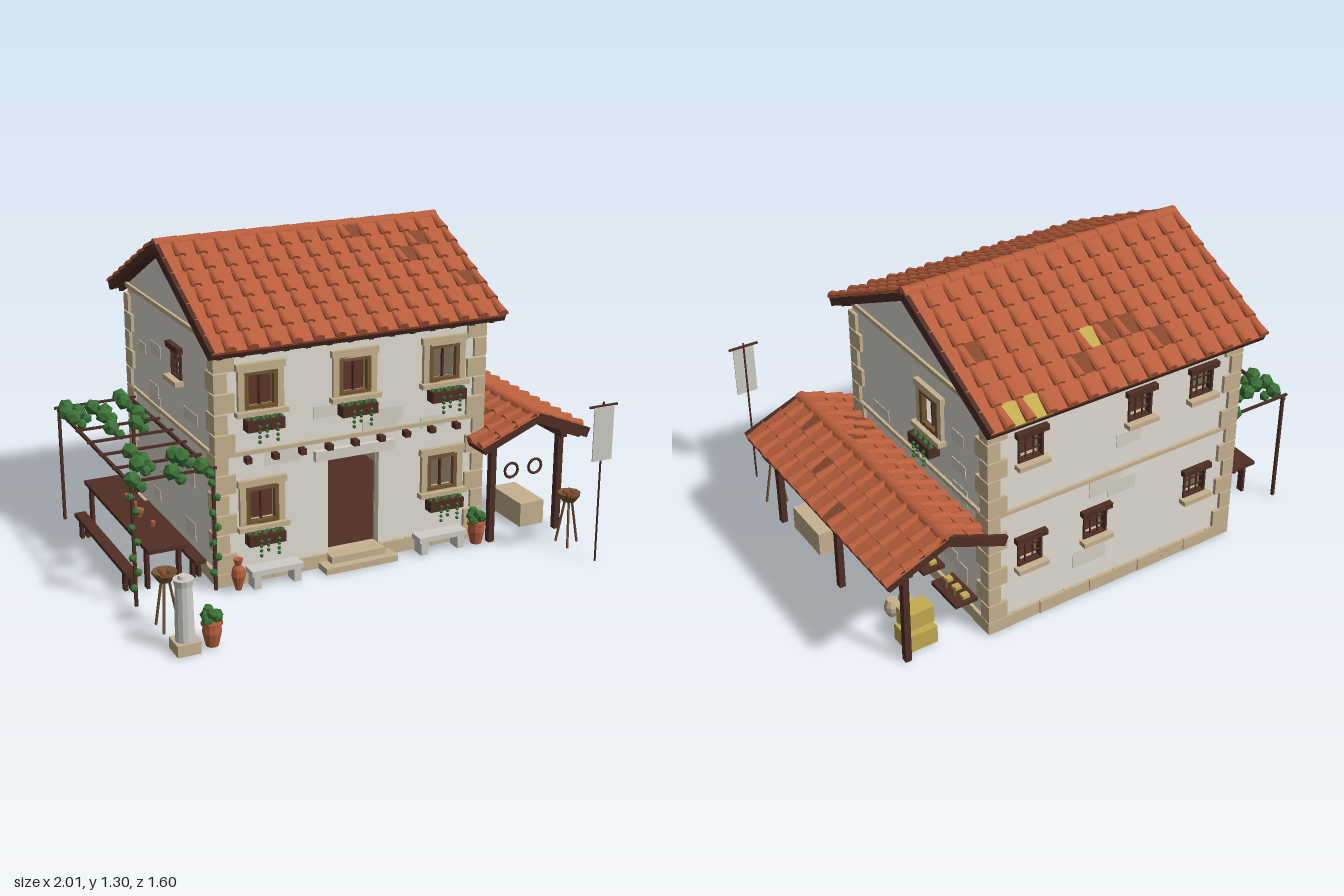
import * as THREE from 'three';
import { mergeGeometries } from 'three/addons/utils/BufferGeometryUtils.js';

const paint = (name, color) => {
  const m = new THREE.MeshStandardMaterial({ color, flatShading: true });
  m.name = name;
  return m;
};
const plaster = paint('plaster', 0xe2ded4), patch = paint('weathered plaster', 0xd8d2c4);
const stone = paint('sandstone', 0xc6b28f), pale = paint('pale stone', 0xcfcdc5);
const clay = paint('terracotta', 0xb85e3c), oldClay = paint('old terracotta', 0x86492f);
const straw = paint('straw', 0xc2ab50), wood = paint('dark wood', 0x4f2f25);
const leaf = paint('leaf green', 0x3b7238), bronze = paint('bronze brown', 0x755531);

let seed = 7;
const rnd = () => (seed = (seed * 16807) % 2147483647) / 2147483647;

function add(parent, name, geo, mat, x = 0, y = 0, z = 0) {
  const m = new THREE.Mesh(geo, mat);
  m.name = name;
  m.position.set(x, y, z);
  parent.add(m);
  return m;
}
const box = (p, name, mat, w, h, d, x, y, z) => add(p, name, new THREE.BoxGeometry(w, h, d), mat, x, y, z);
const cyl = (p, name, mat, r1, r2, h, x, y, z, n = 8) => add(p, name, new THREE.CylinderGeometry(r1, r2, h, n), mat, x, y, z);
const bush = (p, r, x, y, z) => {
  const m = add(p, 'leaves', new THREE.IcosahedronGeometry(r, 0), leaf, x, y, z);
  m.rotation.set(rnd() * 3, rnd() * 3, 0);
  return m;
};
function group(parent, name, x = 0, y = 0, z = 0, ry = 0) {
  const g = new THREE.Group();
  g.name = name;
  g.position.set(x, y, z);
  g.rotation.y = ry;
  parent.add(g);
  return g;
}
// Rectangular frame made of four bars
function ring(p, name, mat, w, h, t, d, x, y, z) {
  for (const s of [-1, 1]) {
    box(p, name, mat, t, h, d, x + s * (w - t) / 2, y, z);
    box(p, name, mat, w - 2 * t, t, d, x, y + s * (h - t) / 2, z);
  }
}

// Wall with openings: plaster outside, sandstone lining inside
function wall(root, name, outline, holes, x, z, ry) {
  const g = group(root, name, x, 0, z, ry);
  const shape = new THREE.Shape(outline.map(p => new THREE.Vector2(...p)));
  for (const [cx, cy, w, h] of holes) {
    const a = w / 2, b = h / 2;
    shape.holes.push(new THREE.Path([[-a, -b], [-a, b], [a, b], [a, -b]].map(([u, v]) => new THREE.Vector2(cx + u, cy + v))));
  }
  const skin = (n, mat, depth, zz) => add(g, n, new THREE.ExtrudeGeometry(shape, { depth, bevelEnabled: false }), mat, 0, 0, zz);
  skin('plasterSkin', plaster, 0.03, -0.03);
  skin('innerLining', stone, 0.014, -0.045);
  // weathered patches, kept clear of openings
  const W = Math.max(...outline.map(p => p[0])), half = W - 0.17;
  for (let i = 0; i < 16; i++) {
    const w = 0.08 + rnd() * 0.08, h = 0.04 + rnd() * 0.04, px = (rnd() * 2 - 1) * half, py = 0.12 + rnd() * 0.76;
    if (holes.every(([cx, cy, a, b]) => Math.abs(px - cx) > (a + w) / 2 + 0.03 || Math.abs(py - cy) > (b + h) / 2 + 0.03))
      box(g, 'plasterPatch', patch, w, h, 0.003, px, py, 0.001);
  }
  // plinth blocks, middle string course and quoins
  const n = Math.round(W * 18), bw = (2 * W + 0.03) / n;
  for (let i = 0; i < n; i++) box(g, 'plinthBlock', stone, bw - 0.002, 0.055, 0.04, (i + 0.5 - n / 2) * bw, 0.0275, -0.005 - (i % 2) * 0.002);
  box(g, 'stringCourse', stone, 2 * W, 0.016, 0.016, 0, 0.54, 0.004);
  for (const s of [-1, 1]) for (let i = 0; i < 11; i++) {
    const w = (i + (Math.abs(ry) === Math.PI / 2 ? 0 : 1)) % 2 ? 0.085 : 0.055;
    box(g, 'quoin', stone, w, 0.076, 0.028, s * (W + 0.014 - w / 2), 0.095 + i * 0.082, 0);
  }
  return g;
}
// Large casement window, with or without a flower box
function bigWindow(g, x, y, w, flowers) {
  ring(g, 'windowSurround', stone, w + 0.05, 0.2, 0.026, 0.03, x, y, 0.002);
  box(g, 'windowLintel', stone, w + 0.065, 0.028, 0.036, x, y + 0.096, 0.003);
  box(g, 'windowSill', stone, w + 0.075, 0.02, 0.05, x, y - 0.088, 0.012);
  ring(g, 'windowFrame', bronze, w, 0.16, 0.018, 0.022, x, y, 0.006);
  box(g, 'mullion', wood, 0.008, 0.15, 0.012, x, y, -0.005);
  if (!flowers) return;
  box(g, 'flowerBox', wood, 0.155, 0.044, 0.05, x, y - 0.128, 0.04);
  for (let i = 0; i < 8; i++) bush(g, 0.011, x - 0.066 + i * 0.019, y - 0.104, 0.036 + (i % 2) * 0.014);
  for (const [dx, n] of [[-0.03, 4], [0.0, 3], [0.045, 4]])
    for (let k = 0; k < n; k++) bush(g, 0.008, x + dx, y - 0.13 - k * 0.02, 0.068);
}
// Small barred window with wooden lintel
function smallWindow(g, x, y) {
  ring(g, 'smallFrame', wood, 0.112, 0.122, 0.009, 0.03, x, y, -0.008);
  for (const s of [-1, 1]) {
    box(g, 'grilleBar', wood, 0.005, 0.115, 0.006, x + s * 0.017, y, -0.005);
    box(g, 'grilleBar', wood, 0.105, 0.005, 0.006, x, y + s * 0.018, -0.005);
  }
  box(g, 'smallLintel', wood, 0.14, 0.024, 0.036, x, y + 0.068, 0.006);
  box(g, 'smallSill', stone, 0.14, 0.02, 0.05, x, y - 0.068, 0.012);
}

// Gabled tile roof; ridge along local x, slopes toward +z and -z
function roof(g, run, drop, length, cols, rows, ochre) {
  const ang = Math.atan2(drop, run), len = Math.hypot(run, drop), pitch = length / cols, rl = len / rows;
  for (const side of [0, 1]) {
    const turn = group(g, 'slope', 0, 0, 0, side * Math.PI);
    const s = group(turn, 'slopePlane');
    s.rotation.x = ang;
    box(s, 'roofDeck', wood, length, 0.016, len, 0, 0.008, len / 2);
    for (const e of [-1, 1]) box(s, 'vergeBoard', wood, 0.018, 0.042, len + 0.006, e * (length / 2 - 0.004), 0.012, len / 2);
    box(s, 'eaveBoard', wood, length, 0.024, 0.012, 0, 0.006, len);
    for (let i = 0; i < cols; i++) box(s, 'rafterTail', wood, 0.022, 0.024, 0.09, (i + 0.5 - cols / 2) * pitch, -0.01, len - 0.05);
    const tiles = new Map([[clay, []], [oldClay, []], [straw, []]]);
    for (let i = 0; i < cols; i++) for (let j = 0; j < rows; j++) {
      const x = (i + 0.5 - cols / 2) * pitch, z = (j + 0.5) * rl + 0.004;
      const pan = new THREE.BoxGeometry(pitch * 0.94, 0.012, rl * 1.06);
      pan.rotateX(0.07).translate(x, 0.024, z);
      const cover = new THREE.CylinderGeometry(0.023, 0.018, rl * 1.06, 6, 1, false, Math.PI / 2, Math.PI);
      cover.rotateX(Math.PI / 2).rotateX(-0.06).translate(x + pitch / 2 - 0.012, 0.024, z);
      const isOchre = side && ochre.some(o => o[0] === i && o[1] === j);
      tiles.get(isOchre ? straw : rnd() < 0.05 ? oldClay : clay).push(pan);
      tiles.get(clay).push(cover);
    }
    for (const [mat, list] of tiles) if (list.length) add(s, 'roofTiles', mergeGeometries(list), mat);
  }
  const caps = cols - 1;
  for (let i = 0; i < caps; i++) {
    const c = new THREE.CylinderGeometry(0.03, 0.027, length / caps * 1.03, 8, 1, false, Math.PI / 2, Math.PI);
    c.rotateX(Math.PI / 2).rotateY(Math.PI / 2);
    add(g, 'ridgeTile', c, clay, (i + 0.5 - caps / 2) * length / caps, 0.015, 0);
  }
}
const lathe = pts => new THREE.LatheGeometry(pts.map(p => new THREE.Vector2(...p)), 10);
function pottedPlant(root, x, z) {
  const g = group(root, 'pottedPlant', x, 0, z);
  add(g, 'pot', lathe([[0, 0.005], [0.024, 0.005], [0.036, 0.06], [0.034, 0.085], [0.04, 0.088], [0.04, 0.1], [0, 0.096]]), clay);
  for (let i = 0; i < 8; i++) bush(g, 0.022, Math.cos(i * 0.9) * 0.022, 0.108 + (i % 3) * 0.015, Math.sin(i * 0.9) * 0.022);
}
function brazier(root, x, z) {
  const g = group(root, 'brazier', x, 0, z);
  add(g, 'bowl', lathe([[0, 0.185], [0.028, 0.192], [0.048, 0.222], [0.048, 0.23], [0.04, 0.228], [0, 0.212]]), bronze);
  for (let i = 0; i < 3; i++) {
    const a = i * Math.PI * 2 / 3, c = Math.cos(a), s = Math.sin(a);
    const path = new THREE.LineCurve3(new THREE.Vector3(c * 0.05, 0, s * 0.05), new THREE.Vector3(c * 0.014, 0.2, s * 0.014));
    add(g, 'leg', new THREE.TubeGeometry(path, 1, 0.0055, 5), bronze);
    add(g, 'ember', new THREE.IcosahedronGeometry(0.013, 0), oldClay, c * 0.018, 0.224, s * 0.018);
  }
}
// Plank on two trestle legs, running along z
function plank(root, name, w, h, l, x, z) {
  const g = group(root, name, x, 0, z);
  box(g, 'top', wood, w, 0.016, l, 0, h - 0.008, 0);
  for (const s of [-1, 1]) for (const e of [-1, 1]) box(g, 'leg', wood, 0.014, h - 0.016, 0.03, e * (w / 2 - 0.012), (h - 0.016) / 2, s * (l / 2 - 0.06));
}

export function createModel() {
  const root = new THREE.Group();
  root.name = 'farmhouse';
  const CX = -0.04, CZ = -0.2, T = Math.PI / 2;

  // House walls
  const rect = [[-0.58, 0.01], [0.58, 0.01], [0.58, 0.985], [-0.58, 0.985]];
  const gable = [[-0.499, 0.01], [0.499, 0.01], [0.499, 0.99], [0, 1.245], [-0.499, 0.99]];
  const big = [[-0.4, 0.79], [0, 0.79], [0.4, 0.79], [-0.4, 0.32], [0.4, 0.32]];
  const front = wall(root, 'frontWall', rect, [...big.map(([x, y]) => [x, y, 0.13, 0.15]), [0.002, 0.257, 0.225, 0.406]], CX, 0.3, 0);
  big.forEach(([x, y]) => bigWindow(front, x, y, 0.14, true));
  const small = [[-0.4, 0.8], [0.1, 0.8], [0.4, 0.8], [-0.4, 0.325], [-0.095, 0.325], [0.4, 0.325]];
  const back = wall(root, 'backWall', rect, small.map(([x, y]) => [x, y, 0.104, 0.114]), CX, -0.7, Math.PI);
  small.forEach(([x, y]) => smallWindow(back, x, y));
  const left = wall(root, 'leftSideWall', gable, [[0.105, 0.795, 0.12, 0.15], [-0.125, 0.32, 0.12, 0.15]], 0.54, CZ, T);
  bigWindow(left, 0.105, 0.795, 0.13, true);
  bigWindow(left, -0.125, 0.32, 0.13, false);
  const right = wall(root, 'rightSideWall', gable, [[0.09, 0.8, 0.104, 0.114]], -0.62, CZ, -T);
  smallWindow(right, 0.09, 0.8);
  for (const g of [left, right]) box(g, 'gableBand', stone, 1.0, 0.018, 0.016, 0, 0.99, 0.004);
  for (let i = 0; i < 9; i++) box(front, 'beamEnd', wood, 0.024, 0.024, 0.04, -0.46 + i * 0.115, 0.515, 0.015);
  box(root, 'groundFloor', wood, 1.15, 0.048, 0.99, CX, 0.025, CZ);
  box(root, 'upperFloor', wood, 1.07, 0.02, 0.91, CX, 0.54, CZ);

  // Doorway, door leaf swung inward, steps, indoor table
  box(front, 'doorLintel', patch, 0.35, 0.042, 0.036, 0, 0.48, 0.004);
  for (let i = 0; i < 9; i++) box(front, 'doorPlank', wood, 0.014, 0.04, 0.2, -0.119, 0.08 + i * 0.044, -0.147);
  box(front, 'doorBacking', oldClay, 0.006, 0.4, 0.2, -0.122, 0.255, -0.147);
  box(root, 'lowerStep', stone, 0.32, 0.026, 0.09, CX, 0.013, 0.345);
  box(root, 'upperStep', stone, 0.24, 0.028, 0.06, CX, 0.04, 0.325);
  plank(root, 'indoorTable', 0.16, 0.185, 0.3, 0.005, -0.35);
  cyl(root, 'indoorJug', bronze, 0.008, 0.011, 0.035, -0.015, 0.2, -0.3, 6);
  for (const x of [-0.41, 0.33]) {
    box(root, 'benchSeat', pale, 0.22, 0.022, 0.07, x, 0.067, 0.357);
    for (const s of [-1, 1]) box(root, 'benchFoot', pale, 0.03, 0.058, 0.06, x + s * 0.085, 0.029, 0.357);
  }

  // Main roof and porch roof
  roof(group(root, 'mainRoof', CX, 1.25, CZ), 0.578, 0.289, 1.26, 14, 7, [[6, 4], [1, 6], [2, 6]]);
  roof(group(root, 'porchRoof', 0.735, 0.523, -0.145, T), 0.246, 0.1, 1.16, 14, 3, []);
  for (const z of [0.377, -0.137, -0.66]) box(root, 'porchPost', wood, 0.026, 0.45, 0.028, 0.885, 0.225, z);
  box(root, 'porchPost', wood, 0.026, 0.44, 0.028, 0.56, 0.22, 0.377);
  box(root, 'porchBeam', wood, 0.028, 0.028, 1.12, 0.885, 0.435, -0.145);
  for (const x of [0.655, 0.77]) add(root, 'hangingHoop', new THREE.TorusGeometry(0.031, 0.006, 6, 16), wood, x, 0.3, 0.377);

  // Things kept under the porch
  for (const [z, l] of [[-0.04, 0.18], [-0.295, 0.19], [-0.54, 0.18]]) {
    box(root, 'wallShelf', wood, 0.1, 0.016, l, 0.6, 0.12, z);
    for (let i = 0; i < 5; i++) {
      const x = 0.59 + (i % 2) * 0.03, dz = z - 0.06 + i * 0.03;
      if (i % 2) cyl(root, 'shelfJar', bronze, 0.007, 0.009, 0.034, x, 0.145, dz, 6);
      else box(root, 'shelfBundle', straw, 0.03, 0.014, 0.028, x, 0.135, dz);
    }
  }
  box(root, 'trough', stone, 0.115, 0.105, 0.23, 0.81, 0.0525, 0.195);
  box(root, 'strawBale', straw, 0.13, 0.075, 0.105, 0.8, 0.0375, -0.583);
  box(root, 'strawBale', straw, 0.12, 0.073, 0.08, 0.79, 0.1115, -0.565).rotation.y = 0.06;
  for (const [x, z] of [[0.8, -0.4], [0.74, -0.4]])
    add(root, 'storageJar', lathe([[0, 0.001], [0.022, 0.001], [0.032, 0.025], [0.032, 0.048], [0.022, 0.074], [0, 0.074]]), stone, x, 0, z);

  // Pergola with vines
  const pg = group(root, 'pergola');
  for (const x of [-0.97, -0.645]) {
    box(pg, 'pergolaRail', wood, 0.012, 0.012, 0.96, x, 0.495, -0.15);
    for (const z of [-0.62, 0.32]) box(pg, 'pergolaPost', wood, 0.012, 0.5, 0.012, x, 0.25, z);
    for (let i = 0; i < 7; i++) bush(pg, 0.017, x + (i % 2 ? 0.01 : -0.01), 0.08 + i * 0.062, 0.33);
  }
  for (const z of [-0.62, -0.31, -0.155, 0, 0.16, 0.32]) box(pg, 'crossBar', wood, 0.36, 0.01, 0.01, -0.81, 0.507, z);
  const vines = [[-0.95, -0.58], [-0.97, -0.51], [-0.92, -0.5], [-0.96, -0.44], [-0.85, -0.53], [-0.82, -0.46], [-0.7, -0.62], [-0.71, -0.54], [-0.84, -0.41],
    [-0.7, -0.39], [-0.86, -0.25], [-0.75, -0.27], [-0.88, 0.04], [-0.9, 0.18], [-0.87, 0.15], [-0.74, 0.15], [-0.72, 0.18], [-0.81, 0.32], [-0.69, 0.31], [-0.97, 0.33]];
  for (const [x, z] of vines) {
    bush(pg, 0.036, x, 0.52, z);
    bush(pg, 0.024, x + 0.028, 0.492, z + 0.018);
  }
  plank(root, 'longTable', 0.155, 0.18, 0.82, -0.812, -0.165);
  plank(root, 'outerBench', 0.048, 0.09, 0.68, -0.95, -0.115);
  plank(root, 'innerBench', 0.048, 0.09, 0.68, -0.67, -0.115);
  add(root, 'tableBowl', lathe([[0, 0], [0.015, 0], [0.026, 0.03], [0, 0.022]]), clay, -0.81, 0.18, -0.1);
  for (const z of [-0.3, -0.2, 0.02]) cyl(root, 'cup', clay, 0.01, 0.008, 0.022, -0.79, 0.191, z, 6);

  // Yard: column, pots, amphora, braziers and banner
  box(root, 'columnBase', stone, 0.09, 0.045, 0.09, -0.93, 0.0225, 0.738);
  cyl(root, 'columnShaft', pale, 0.032, 0.037, 0.22, -0.93, 0.155, 0.738, 12);
  cyl(root, 'columnCap', pale, 0.039, 0.034, 0.025, -0.93, 0.272, 0.738, 12);
  cyl(root, 'columnFinial', pale, 0.018, 0.022, 0.014, -0.93, 0.29, 0.738, 12);
  pottedPlant(root, -0.83, 0.748);
  pottedPlant(root, 0.495, 0.375);
  add(root, 'amphora', lathe([[0, 0.01], [0.012, 0.01], [0.028, 0.07], [0.024, 0.1], [0.012, 0.115], [0.02, 0.14], [0, 0.135]]), clay, -0.572, 0, 0.375);
  brazier(root, -0.93, 0.54);
  brazier(root, 0.835, 0.54);
  cyl(root, 'bannerPole', wood, 0.004, 0.004, 0.68, 0.84, 0.34, 0.735, 6);
  box(root, 'bannerBar', wood, 0.13, 0.008, 0.008, 0.84, 0.665, 0.737);
  box(root, 'bannerCloth', pale, 0.092, 0.225, 0.004, 0.84, 0.55, 0.742);
  return root;
}
